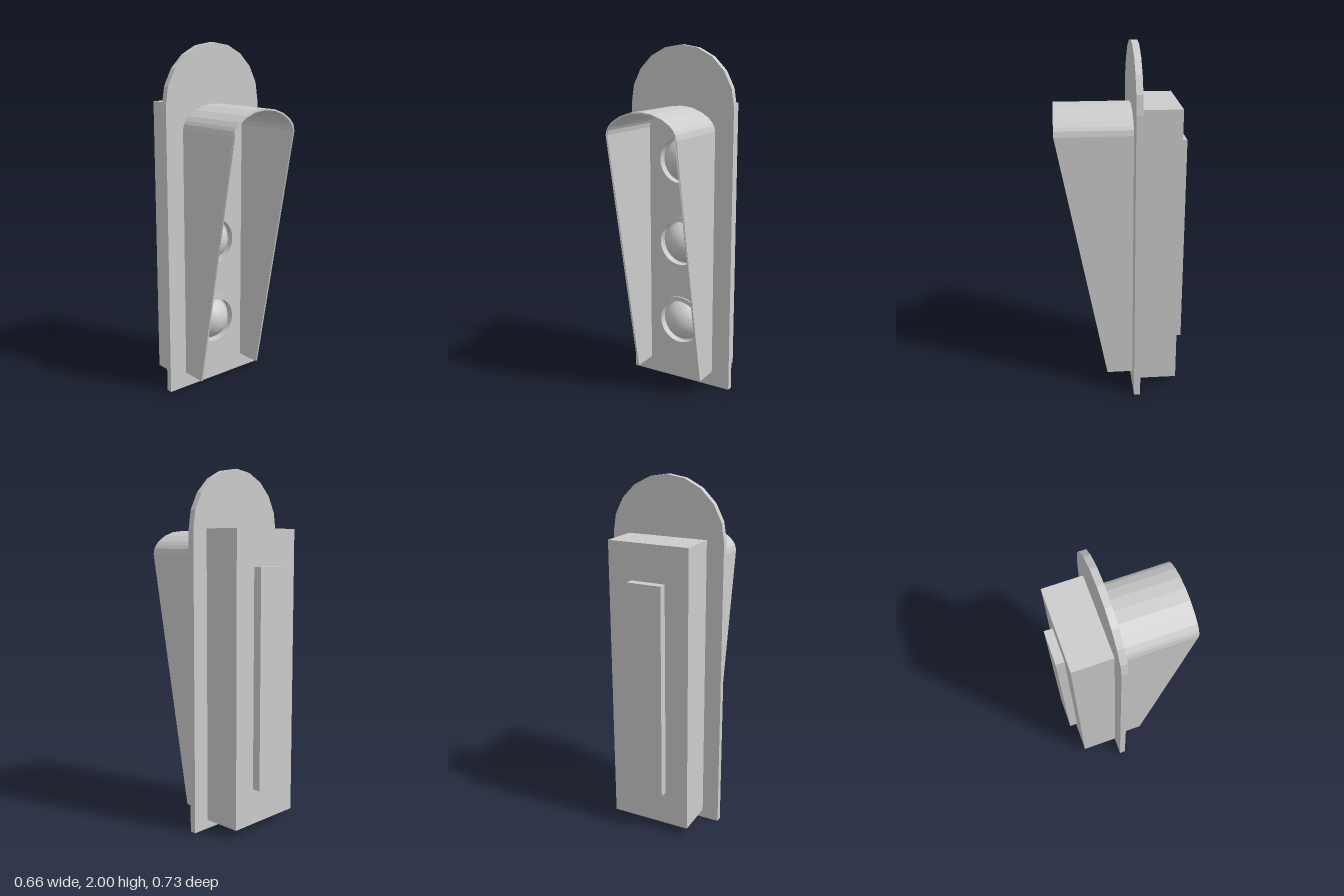
import * as THREE from 'three';

const BACK = -0.094, FRONT = -0.058;   // plate faces
const LIGHT_Y = [0.37, 0.863, 1.355];

export function createModel() {
  const group = new THREE.Group();
  const grey = new THREE.MeshStandardMaterial({ color: 0xcccccc });
  grey.name = 'grey';

  const add = (name, geometry, x = 0, y = 0, z = 0) => {
    const mesh = new THREE.Mesh(geometry, grey);
    mesh.name = name;
    mesh.position.set(x, y, z);
    group.add(mesh);
    return mesh;
  };
  const box = (name, w, y0, y1, z0, z1) =>
    add(name, new THREE.BoxGeometry(w, y1 - y0, z1 - z0), 0, (y0 + y1) / 2, (z0 + z1) / 2);

  // Round-topped backing plate with a hole for each light
  const r = 0.33, spring = 1.67;
  const outline = [new THREE.Vector2(-r, 0), new THREE.Vector2(r, 0)];
  for (let i = 0; i <= 10; i++) {
    const a = (i * Math.PI) / 10;
    outline.push(new THREE.Vector2(r * Math.cos(a), spring + r * Math.sin(a)));
  }
  const plate = new THREE.Shape(outline);
  for (const y of LIGHT_Y) {
    plate.holes.push(new THREE.Path().absarc(0, y, 0.132, 0, Math.PI * 2, true));
  }
  add('backingPlate', new THREE.ExtrudeGeometry(plate, {
    depth: FRONT - BACK, bevelEnabled: false, curveSegments: 24,
  }), 0, 0, BACK);

  // Housing and rear cover
  box('housing', 0.466, 0.05, 1.675, -0.315, BACK);
  box('rearCover', 0.196, 0.25, 1.473, -0.363, -0.315);

  // Hood: thin arch, its front edge cut back toward the bottom
  const arch = [[0.218, 0.09], [0.218, 1.535], [0.211, 1.565], [0.2, 1.583],
    [0.178, 1.607], [0.13, 1.638], [0.069, 1.66], [0, 1.667]];
  const inner = [[0.207, 0.09], [0.207, 1.535], [0.201, 1.56], [0.191, 1.576],
    [0.171, 1.599], [0.126, 1.629], [0.067, 1.651], [0, 1.658]];
  const span = (pts) => [...pts, ...pts.slice(0, -1).reverse().map(([x, y]) => [-x, y])];
  const profile = [...span(arch), ...span(inner).reverse()].map(([x, y]) => new THREE.Vector2(x, y));
  const hood = new THREE.ExtrudeGeometry(new THREE.Shape(profile), { depth: 1, bevelEnabled: false });
  const p = hood.attributes.position;
  for (let i = 0; i < p.count; i++) {
    const t = Math.min(1, (p.getY(i) - 0.09) / 1.445);
    p.setZ(i, p.getZ(i) > 0.5 ? 0.09 + 0.273 * t : FRONT);
  }
  hood.computeVertexNormals();
  add('hood', hood);

  // Lights: slim bezel ring with a recessed round lens
  const ringShape = new THREE.Shape().absarc(0, 0, 0.157, 0, Math.PI * 2, false);
  ringShape.holes.push(new THREE.Path().absarc(0, 0, 0.131, 0, Math.PI * 2, true));
  const ring = new THREE.ExtrudeGeometry(ringShape, {
    depth: 0.02, bevelEnabled: false, curveSegments: 24,
  });
  const lens = new THREE.SphereGeometry(0.127, 32, 24);
  for (const y of LIGHT_Y) {
    add('bezel', ring, 0, y, FRONT - 0.01);
    add('lens', lens, 0, y, -0.13);
  }

  return group;
}
